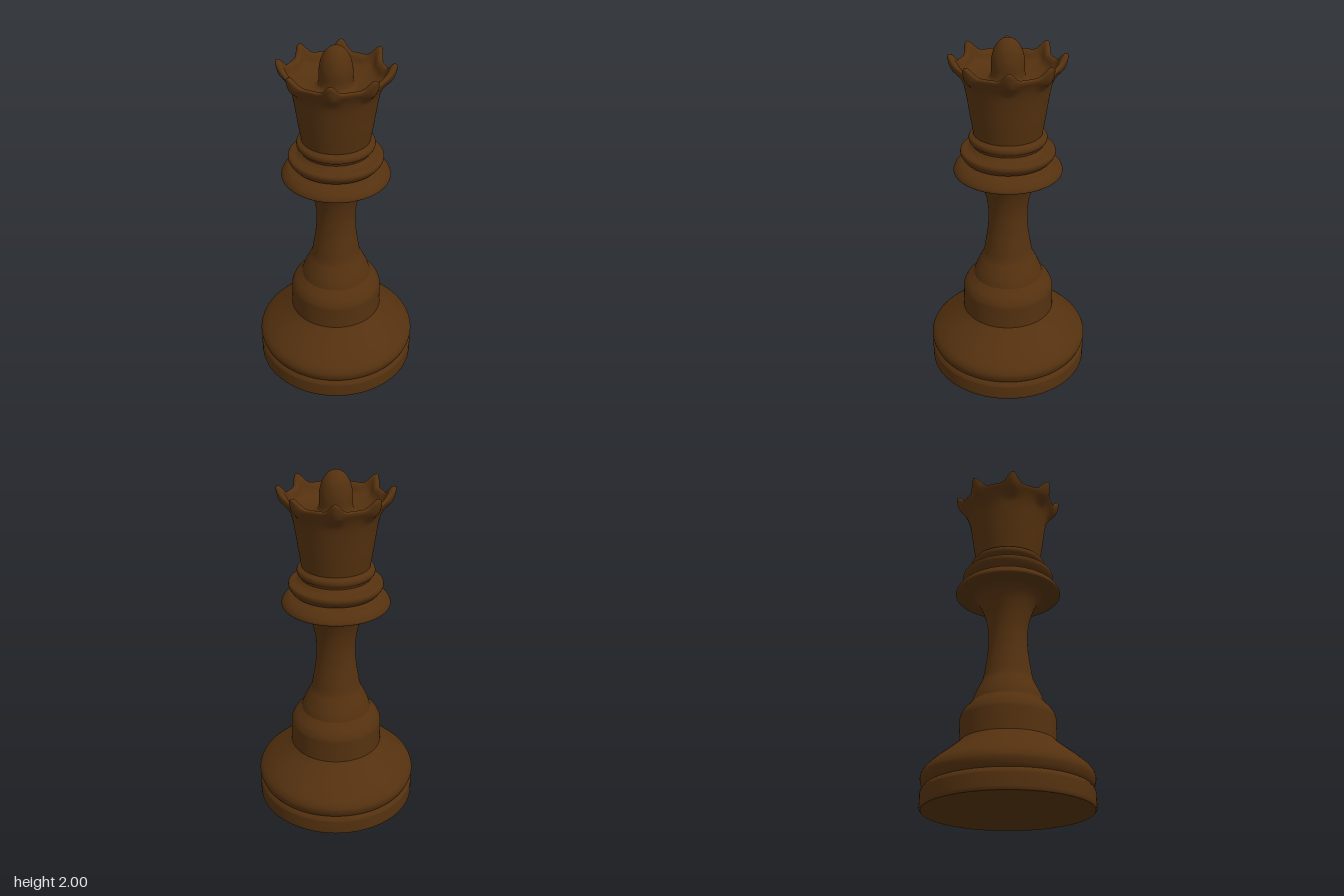
import * as THREE from 'three';
import { mergeVertices } from 'three/addons/utils/BufferGeometryUtils.js';

const wood = new THREE.MeshStandardMaterial({ color: 0x54310f });
wood.name = 'darkWood';

// [radius, height] pairs, bottom to top
const toPoints = (pairs) => pairs.map(([r, y]) => new THREE.Vector2(r, y));
const smooth = (pairs, n) => new THREE.SplineCurve(toPoints(pairs)).getPoints(n);

function turned(name, points, segments = 96) {
  const mesh = new THREE.Mesh(new THREE.LatheGeometry(points, segments), wood);
  mesh.name = name;
  return mesh;
}

// Crown: a turned cup whose rim is pulled up and out into eight points
function crownGeometry() {
  const outer = smooth([[0.185, 1.47], [0.19, 1.5], [0.203, 1.58], [0.216, 1.67],
    [0.23, 1.75], [0.246, 1.8], [0.268, 1.842]], 36);
  const inner = smooth([[0.268, 1.842], [0.271, 1.856], [0.264, 1.862], [0.252, 1.861], [0.238, 1.848],
    [0.222, 1.818], [0.19, 1.798], [0.14, 1.787], [0.07, 1.785]], 40);
  const geo = new THREE.LatheGeometry([...outer, ...inner.slice(1)], 192);
  const pos = geo.attributes.position;
  for (let i = 0; i < pos.count; i++) {
    const x = pos.getX(i), y = pos.getY(i), z = pos.getZ(i);
    const r = Math.hypot(x, z), a = Math.atan2(x, z);
    const wave = (1 - Math.cos(8 * a + Math.PI * 2) * -1) / 2;
    const near = 1 - wave; // 1 at each point, 0 midway between points
    const lift = Math.pow(near, 4);
    const rim = THREE.MathUtils.smoothstep(y, 1.76, 1.86);
    const top = THREE.MathUtils.smoothstep(y, 1.825, 1.862);
    const spread = 1 + rim * (0.07 * Math.pow(near, 1.5) + 0.085 * lift) * THREE.MathUtils.smoothstep(r, 0.19, 0.25);
    pos.setXYZ(i, x * spread, y + 0.053 * top * lift, z * spread);
  }
  geo.deleteAttribute('uv');
  geo.deleteAttribute('normal');
  const merged = mergeVertices(geo, 1e-5);
  merged.computeVertexNormals();
  return merged;
}

export function createModel() {
  const model = new THREE.Group();
  model.name = 'chessQueen';

  // Foot and base
  model.add(turned('underside', toPoints([[0, 0], [0.453, 0]])));
  model.add(turned('foot', toPoints([[0.453, 0], [0.459, 0.006], [0.46, 0.02], [0.46, 0.085],
    [0.457, 0.096], [0.447, 0.108], [0.442, 0.116]])));
  model.add(turned('base', smooth([[0.442, 0.114], [0.452, 0.13], [0.46, 0.155], [0.459, 0.178], [0.443, 0.208],
    [0.4, 0.25], [0.345, 0.295], [0.29, 0.34], [0.264, 0.365]], 40)));

  // Drum and stem
  model.add(turned('drum', [...toPoints([[0.264, 0.362], [0.263, 0.38]]),
    ...smooth([[0.262, 0.48], [0.26, 0.507], [0.245, 0.54], [0.222, 0.567], [0.2, 0.59]], 20)]));
  model.add(turned('stem', smooth([[0.2, 0.588], [0.187, 0.63], [0.162, 0.685], [0.141, 0.73], [0.128, 0.8],
    [0.116, 0.88], [0.111, 0.95], [0.112, 1.02], [0.125, 1.1], [0.15, 1.175], [0.18, 1.225], [0.21, 1.246]], 60)));

  // Collar rings
  model.add(turned('collarUnderside', toPoints([[0.2, 1.242], [0.29, 1.251]])));
  model.add(turned('lowerCollar', smooth([[0.29, 1.251], [0.299, 1.256], [0.299, 1.268], [0.288, 1.287],
    [0.265, 1.307], [0.24, 1.318], [0.225, 1.327]], 24)));
  model.add(turned('middleCollar', smooth([[0.225, 1.325], [0.238, 1.333], [0.253, 1.352], [0.26, 1.368],
    [0.257, 1.384], [0.243, 1.391], [0.215, 1.398], [0.193, 1.415]], 28)));
  model.add(turned('upperCollar', smooth([[0.19, 1.41], [0.195, 1.425], [0.208, 1.436], [0.213, 1.45],
    [0.209, 1.466], [0.195, 1.475], [0.183, 1.483]], 28)));

  // Crown and finial
  const crown = new THREE.Mesh(crownGeometry(), wood);
  crown.name = 'crown';
  model.add(crown);
  model.add(turned('finial', smooth([[0.115, 1.784], [0.096, 1.795], [0.089, 1.82], [0.089, 1.86], [0.086, 1.895],
    [0.074, 1.94], [0.053, 1.975], [0.028, 1.995], [0, 2]], 40), 64));

  return model;
}
